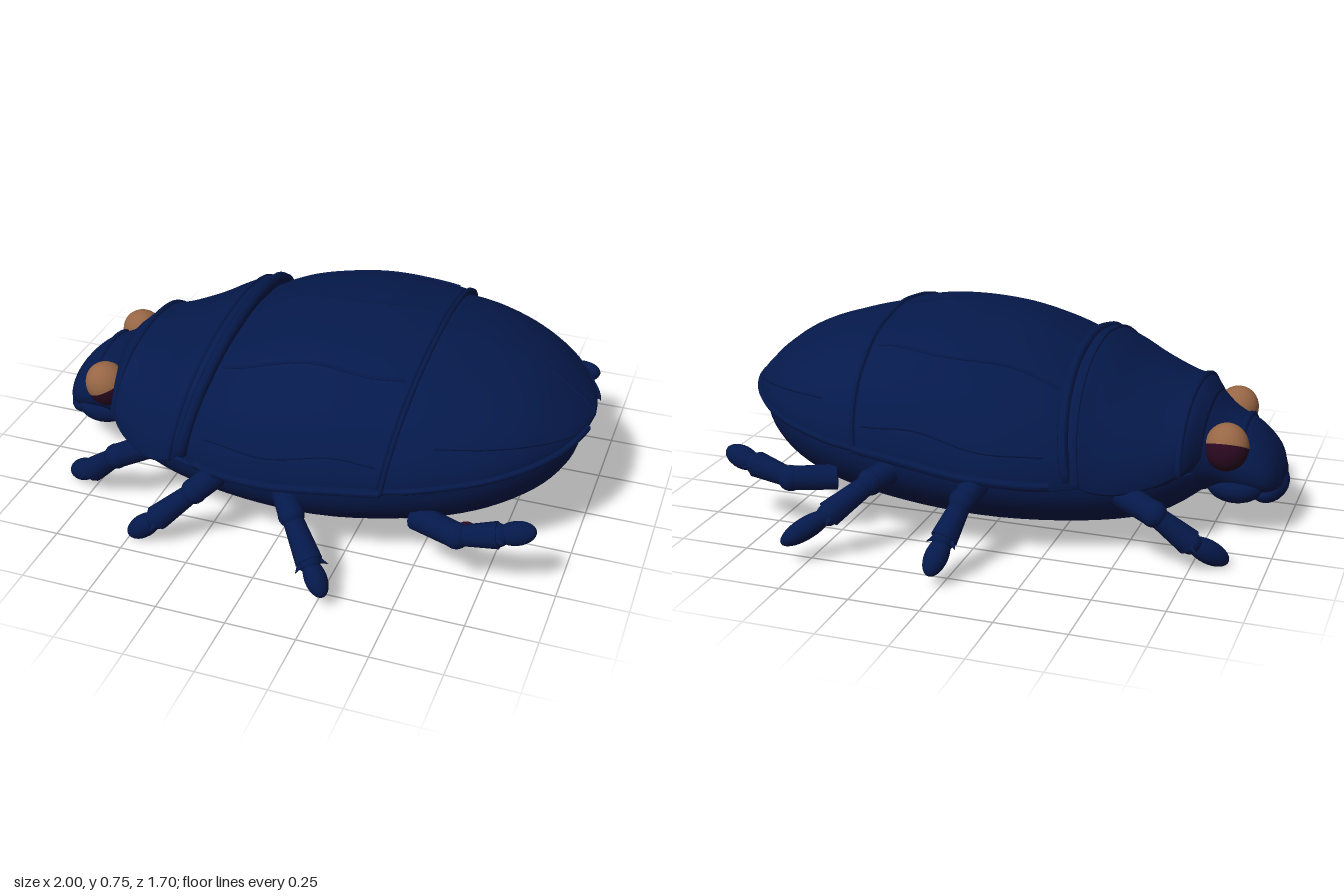
import * as THREE from 'three';

const navy = new THREE.MeshStandardMaterial({ color: 0x05194b });
navy.name = 'navy shell';
const tan = new THREE.MeshStandardMaterial({ color: 0x976645 });
tan.name = 'tan eye';
const maroon = new THREE.MeshStandardMaterial({ color: 0x2a0820 });
maroon.name = 'maroon';

const V = (x, y, z) => new THREE.Vector3(x, y, z);

function mesh(name, geometry, material = navy) {
  const m = new THREE.Mesh(geometry, material);
  m.name = name;
  return m;
}

// Keys are [x, centre z, half width, rim y, top y, bottom y]; returns a surface sampler.
function surface(keys, lean = 0, relief = 0) {
  const a = new THREE.CatmullRomCurve3(keys.map(k => V(k[0], k[1], k[2])), false, 'catmullrom');
  const b = new THREE.CatmullRomCurve3(keys.map(k => V(k[3], k[4], k[5])), false, 'catmullrom');
  return (t, angle, scale = 1) => {
    const p = a.getPoint(t), q = b.getPoint(t);
    const s = Math.sin(angle), c = Math.cos(angle);
    const bump = relief * Math.max(s, 0) * (Math.sin(angle * 13) * 0.6 + Math.sin(t * 17 + angle * 5) * 0.5);
    const r = scale * (1 + bump);
    const y = q.x + r * s * (s > 0 ? q.y - q.x : q.x - q.z);
    return V(p.x + lean * t * (y - q.y), y, p.y + r * p.z * c);
  };
}

// Closed loft through elliptical cross-sections, with both ends capped
function loft(name, at, steps = 40, sides = 72) {
  const pos = [], index = [], row = sides + 1;
  for (let i = -1; i <= steps + 1; i++) {
    const t = Math.min(Math.max(i / steps, 0), 1);
    const scale = i < 0 || i > steps ? 0 : 1;
    for (let j = 0; j <= sides; j++) pos.push(...at(t, (j % sides) / sides * Math.PI * 2, scale).toArray());
  }
  for (let i = 0; i < steps + 2; i++) {
    for (let j = 0; j < sides; j++) {
      const p = i * row + j;
      index.push(p, p + row, p + 1, p + 1, p + row, p + row + 1);
    }
  }
  const g = new THREE.BufferGeometry();
  g.setAttribute('position', new THREE.Float32BufferAttribute(pos, 3));
  g.setIndex(index);
  g.computeVertexNormals();
  return mesh(name, g);
}

// Raised bead that follows a surface along [t, angle] points
function trace(name, at, track, radius) {
  const curve = new THREE.CatmullRomCurve3(track.map(([t, a]) => at(t, a)));
  return mesh(name, new THREE.TubeGeometry(curve, 48, radius, 6));
}

const line = (n, f) => Array.from({ length: n + 1 }, (_, i) => f(i / n));

function ellipsoid(name, centre, rx, ry, rz, material = navy) {
  const m = mesh(name, new THREE.SphereGeometry(1, 20, 14), material);
  m.scale.set(rx, ry, rz);
  m.position.copy(centre);
  return m;
}

// Aligns a part built along y with the direction from p to q
function between(m, p, q) {
  m.position.copy(p).lerp(q, 0.5);
  m.quaternion.setFromUnitVectors(V(0, 1, 0), q.clone().sub(p).normalize());
  return m;
}

// Thigh, shin with spurs, and an egg-shaped foot
function leg(name, points) {
  const g = new THREE.Group();
  g.name = name;
  const [hip, knee, ankle, tip] = points.map(p => V(...p));
  const limb = (part, p, q, r0, r1) =>
    g.add(between(mesh(part, new THREE.CylinderGeometry(r1, r0, p.distanceTo(q), 12)), p, q));
  limb('thigh', hip, knee, 0.047, 0.044);
  g.add(ellipsoid('knee', knee, 0.046, 0.046, 0.046));
  limb('shin', knee, ankle, 0.034, 0.047);
  g.add(ellipsoid('ankle', ankle, 0.04, 0.04, 0.04));
  const foot = ellipsoid('foot', ankle, 0.042, ankle.distanceTo(tip) * 0.56, 0.038);
  g.add(between(foot, ankle, tip));
  const dir = ankle.clone().sub(knee).normalize();
  const side = V(0, 1, 0).cross(dir).normalize();
  for (const s of [-1, 1]) {
    const p = ankle.clone().addScaledVector(side, s * 0.03);
    const q = p.clone().addScaledVector(side, s * 0.03).addScaledVector(dir, 0.025);
    g.add(between(mesh('spur', new THREE.ConeGeometry(0.014, 0.045, 6)), p, q));
  }
  return g;
}

export function createModel() {
  const model = new THREE.Group();
  model.name = 'beetle';

  // Smooth rounded underside
  model.add(loft('belly', surface([
    [-0.76, 0.04, 0.18, 0.28, 0.30, 0.19], [-0.6, 0.03, 0.38, 0.28, 0.31, 0.085],
    [-0.4, 0.02, 0.50, 0.28, 0.32, 0.045], [-0.1, 0.01, 0.59, 0.30, 0.34, 0.03],
    [0.2, 0.01, 0.61, 0.33, 0.37, 0.035], [0.5, 0, 0.56, 0.36, 0.40, 0.07],
    [0.7, 0, 0.47, 0.38, 0.41, 0.12], [0.85, 0, 0.33, 0.39, 0.42, 0.19],
    [0.93, 0, 0.19, 0.39, 0.42, 0.27], [0.96, 0, 0.06, 0.39, 0.41, 0.35]])));

  // Domed wing cases in front of the cross seam
  const front = surface([
    [-0.38, 0.01, 0.50, 0.29, 0.58, 0.25], [-0.24, 0.01, 0.57, 0.29, 0.655, 0.255],
    [-0.1, 0.01, 0.61, 0.30, 0.71, 0.27], [0.05, 0.01, 0.625, 0.31, 0.742, 0.28],
    [0.2, 0.01, 0.625, 0.33, 0.757, 0.30], [0.33, 0.01, 0.615, 0.345, 0.75, 0.31],
    [0.455, 0.01, 0.60, 0.355, 0.733, 0.325]], 0.14, 0.008);
  model.add(loft('frontWingCases', front));

  // Rear wing cases, tucked slightly under the front ones
  const rear = surface([
    [0.34, 0.01, 0.59, 0.345, 0.72, 0.31], [0.48, 0.005, 0.57, 0.36, 0.71, 0.33],
    [0.6, 0, 0.53, 0.375, 0.688, 0.345], [0.72, 0, 0.47, 0.39, 0.648, 0.36],
    [0.83, 0, 0.38, 0.405, 0.595, 0.38], [0.92, 0, 0.265, 0.42, 0.53, 0.40],
    [0.97, 0, 0.16, 0.435, 0.485, 0.415], [0.99, 0, 0.08, 0.44, 0.462, 0.43],
    [0.999, 0, 0.01, 0.445, 0.45, 0.44]], 0, 0.006);
  model.add(loft('rearWingCases', rear));

  // Rim beads, ridges and seams on the wing cases
  for (const a of [0.04, Math.PI - 0.04]) {
    model.add(trace('frontRim', front, line(12, t => [0.12 + 0.88 * t, a]), 0.016));
    model.add(trace('rearRim', rear, line(14, t => [0.86 * t, a]), 0.012));
  }
  for (const a of [0.3, 0.95, 2.2, 2.85]) {
    model.add(trace('frontRidge', front,
      line(10, t => [0.15 + 0.8 * t, a + 0.025 * Math.sin(t * 9 + a * 4)]), 0.006));
  }
  for (const a of [0.45, 2.7]) {
    model.add(trace('rearRidge', rear, line(10, t => [0.2 + 0.5 * t, a]), 0.006));
  }
  model.add(trace('crossRidge', front, line(16, t => [1, 0.04 + t * (Math.PI - 0.08)]), 0.009));
  model.add(trace('centreRidge', rear, line(12, t => [0.1 + 0.85 * t, Math.PI / 2 - 0.03]), 0.007));
  model.add(trace('frontCentreRidge', front,
    line(12, t => [0.16 + 0.82 * t, Math.PI / 2 + 0.04 * Math.sin(t * 8)]), 0.005));

  // Neck shield with a raised collar
  const shield = surface([
    [-0.73, 0.04, 0.24, 0.34, 0.49, 0.29], [-0.68, 0.04, 0.34, 0.32, 0.53, 0.26],
    [-0.6, 0.04, 0.415, 0.29, 0.548, 0.24], [-0.48, 0.035, 0.49, 0.275, 0.595, 0.225],
    [-0.38, 0.03, 0.53, 0.285, 0.65, 0.23], [-0.31, 0.02, 0.545, 0.31, 0.68, 0.27],
    [-0.26, 0.015, 0.53, 0.34, 0.668, 0.30]], 0.2, 0.004);
  model.add(loft('neckShield', shield));
  const arch = t => line(20, u => [t, -0.15 + u * (Math.PI + 0.3)]);
  model.add(trace('collar', shield, arch(0.95), 0.02));
  model.add(trace('shieldRidge', shield, arch(0.8), 0.007));
  model.add(trace('shieldFrontLip', shield, arch(0.2), 0.012));

  // Head with brow, muzzle and cheeks
  const head = surface([
    [-0.985, 0.05, 0.07, 0.20, 0.25, 0.15], [-0.95, 0.05, 0.15, 0.23, 0.32, 0.15],
    [-0.88, 0.05, 0.19, 0.26, 0.39, 0.15], [-0.78, 0.05, 0.22, 0.30, 0.44, 0.16],
    [-0.68, 0.05, 0.29, 0.32, 0.52, 0.14], [-0.55, 0.04, 0.34, 0.30, 0.545, 0.10]]);
  model.add(loft('head', head, 24, 48));
  model.add(trace('browRidge', head, line(12, u => [0.48, 0.3 + u * (Math.PI - 0.6)]), 0.012));
  model.add(ellipsoid('muzzle', V(-0.93, 0.175, 0.05), 0.07, 0.052, 0.15));
  for (const s of [-1, 1]) {
    model.add(ellipsoid('cheek', V(-0.83, 0.2, 0.05 + s * 0.13), 0.1, 0.06, 0.07));
  }

  // Eyes: a tan cap around the given direction, maroon on the other side
  const eyes = [['leftEye', V(-0.76, 0.365, 0.27), V(-0.42, 0.88, 0.1)],
    ['rightEye', V(-0.805, 0.365, -0.14), V(0.02, 0.88, 0.45)]];
  for (const [name, centre, pole] of eyes) {
    const eye = new THREE.Group();
    eye.name = name;
    const split = Math.PI * 0.5;
    eye.add(mesh('eyeTop', new THREE.SphereGeometry(1, 28, 14, 0, Math.PI * 2, 0, split), tan));
    eye.add(mesh('eyeBottom', new THREE.SphereGeometry(1, 28, 14, 0, Math.PI * 2, split, Math.PI - split), maroon));
    eye.scale.set(0.078, 0.085, 0.075);
    eye.position.copy(centre);
    eye.quaternion.setFromUnitVectors(V(0, 1, 0), pole.normalize());
    model.add(eye);
  }

  // Legs as hip, knee, ankle, toe
  model.add(leg('frontLeftLeg', [[-0.5, 0.25, 0.42], [-0.62, 0.22, 0.5], [-0.74, 0.11, 0.46], [-0.86, 0.035, 0.39]]));
  model.add(leg('foreMiddleLeftLeg', [[-0.18, 0.3, 0.54], [-0.26, 0.24, 0.63], [-0.39, 0.12, 0.67], [-0.49, 0.035, 0.68]]));
  model.add(leg('hindMiddleLeftLeg', [[0.04, 0.29, 0.56], [0.11, 0.25, 0.66], [0.21, 0.15, 0.76], [0.28, 0.075, 0.825]]));
  model.add(leg('rearLeftLeg', [[0.5, 0.23, 0.5], [0.66, 0.23, 0.56], [0.8, 0.26, 0.55], [0.915, 0.285, 0.525]]));
  model.add(leg('frontRightLeg', [[-0.48, 0.25, -0.38], [-0.63, 0.22, -0.46], [-0.75, 0.12, -0.43], [-0.86, 0.035, -0.35]]));
  model.add(leg('foreMiddleRightLeg', [[-0.05, 0.31, -0.55], [-0.02, 0.26, -0.65], [0.01, 0.16, -0.75], [0.03, 0.07, -0.84]]));
  model.add(leg('hindMiddleRightLeg', [[0.26, 0.31, -0.54], [0.32, 0.28, -0.64], [0.44, 0.18, -0.73], [0.565, 0.1, -0.825]]));
  model.add(leg('rearRightLeg', [[0.5, 0.23, -0.52], [0.65, 0.23, -0.585], [0.79, 0.26, -0.57], [0.915, 0.285, -0.54]]));

  // Small maroon marks on the inner side of the rear shins
  for (const [x, z] of [[0.69, 0.532], [0.73, -0.548]]) {
    model.add(ellipsoid('shinMark', V(x, 0.25, z), 0.03, 0.022, 0.018, maroon));
  }

  return model;
}
